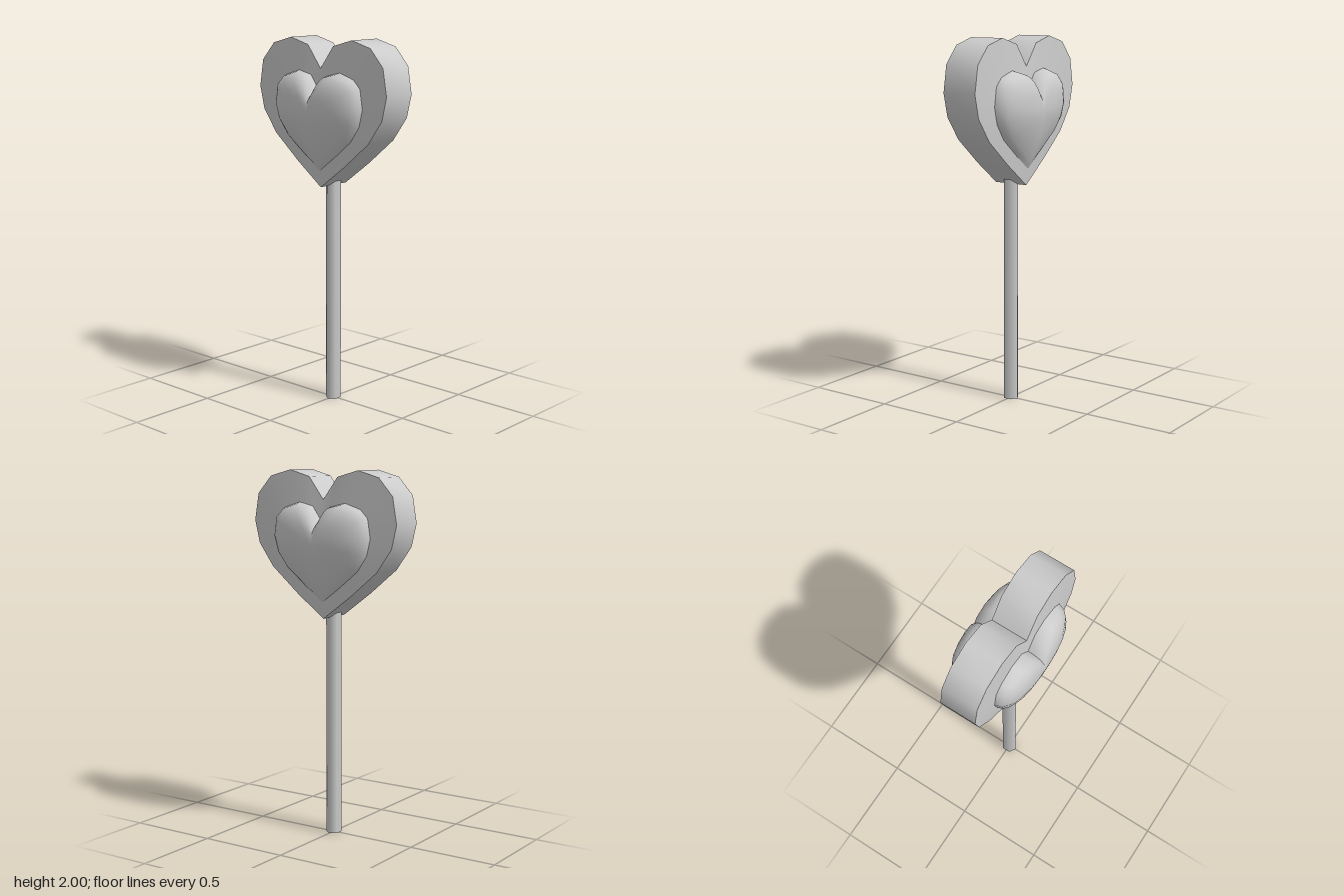
import * as THREE from 'three';
import { toCreasedNormals } from 'three/addons/utils/BufferGeometryUtils.js';

const grey = new THREE.MeshStandardMaterial({ color: 0xcccccc });

// Right halves of the heart outlines, from cleft to tip
const outerHalf = [[0, 1.845], [0.09, 1.965], [0.217, 2], [0.345, 1.965], [0.43, 1.87],
  [0.455, 1.725], [0.425, 1.6], [0.335, 1.475], [0.17, 1.337], [0, 1.21]];
const innerHalf = [[0, 1.725], [0.06, 1.81], [0.145, 1.83], [0.24, 1.8], [0.285, 1.755],
  [0.302, 1.65], [0.28, 1.56], [0.222, 1.475], [0.115, 1.387], [0, 1.3]];

// Closed outline: the half plus its mirror image
function mirrored(half) {
  return [...half, ...half.slice(1, -1).reverse().map(([x, y]) => [-x, y])];
}

// Skin a series of equal-length rings of [x, y, z] points
function loft(rings, crease) {
  const n = rings[0].length;
  const index = [];
  for (let i = 0; i < rings.length - 1; i++) {
    for (let j = 0; j < n; j++) {
      const k = (j + 1) % n;
      const a = i * n + j, b = i * n + k, c = a + n, d = b + n;
      index.push(a, c, b);
      // a ring shrunk to a point needs only one triangle per step
      const p = rings[i + 1][j], q = rings[i + 1][k];
      if (Math.hypot(p[0] - q[0], p[1] - q[1]) > 1e-6) index.push(b, c, d);
    }
  }
  const g = new THREE.BufferGeometry();
  g.setAttribute('position', new THREE.Float32BufferAttribute(rings.flat(2), 3));
  g.setIndex(index);
  return toCreasedNormals(g, crease);
}

function addMesh(group, name, geometry) {
  const mesh = new THREE.Mesh(geometry, grey);
  mesh.name = name;
  group.add(mesh);
  return mesh;
}

export function createModel() {
  const group = new THREE.Group();
  group.name = 'heartWand';
  const outer = mirrored(outerHalf);
  const inner = mirrored(innerHalf);
  const at = (outline, z) => outline.map(([x, y]) => [x, y, z]);

  // Thick heart slab whose faces rise slightly towards the inner heart
  addMesh(group, 'heartSlab', loft(
    [at(inner, -0.11), at(outer, -0.1), at(outer, 0.1), at(inner, 0.11)], 0.9));

  // Puffed heart: rings shrink to a centre, full at the lobes, tapering to the tip
  const cy = 1.61;
  const rings = [1, 0.96, 0.88, 0.76, 0.6, 0.42, 0.22, 0].map((s) => inner.map(([x, y]) => {
    const w = THREE.MathUtils.clamp((cy - y) / 0.31, 0, 1);
    const h = THREE.MathUtils.lerp(Math.sqrt(1 - s ** 3), 1 - s ** 1.5, w);
    return [x * s, cy + (y - cy) * s, 0.11 + 0.103 * h];
  }));
  const dome = loft(rings, 0.9);
  addMesh(group, 'frontHeart', dome);
  addMesh(group, 'backHeart', dome).rotation.y = Math.PI;

  // Six-sided stick, slightly narrower across x
  const stick = addMesh(group, 'stick', new THREE.CylinderGeometry(0.045, 0.045, 1.3, 6));
  stick.scale.x = 0.9;
  stick.position.y = 0.65;

  return group;
}
